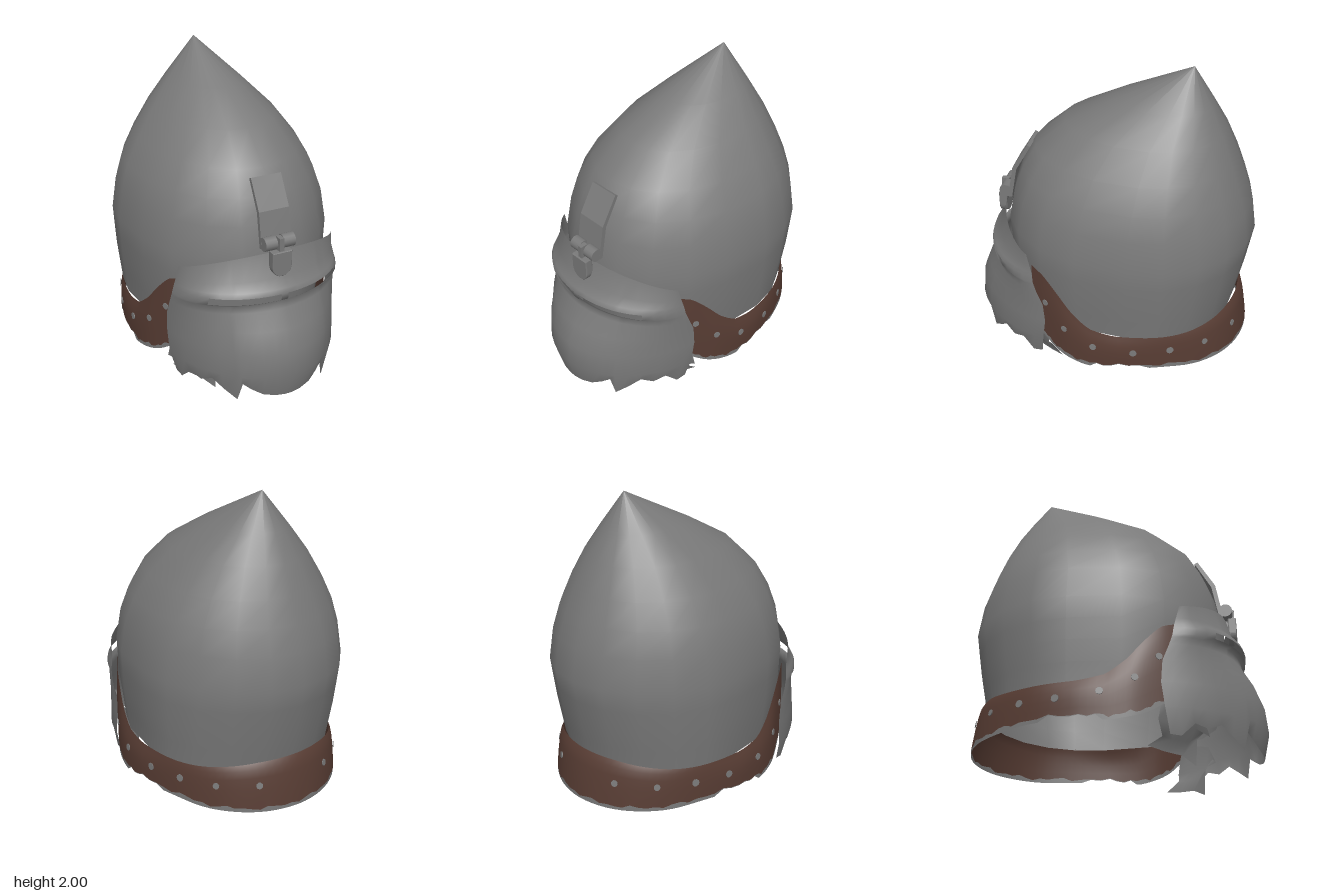
import * as THREE from 'three';

const steel = new THREE.MeshStandardMaterial({ color: 0x7a7a7a, side: THREE.DoubleSide });
steel.name = 'steel';
const leather = new THREE.MeshStandardMaterial({ color: 0x573c33, side: THREE.DoubleSide });
leather.name = 'leather';

const V = (x, y, z) => new THREE.Vector3(x, y, z);
const lerp = THREE.MathUtils.lerp;

// surface through rows of points, running bottom to top; skip(row, col) leaves holes
function sheet(rows, wrap = false, skip = () => false) {
  const n = rows[0].length, index = [];
  for (let r = 0; r < rows.length - 1; r++) {
    for (let c = 0; c < (wrap ? n : n - 1); c++) {
      if (skip(r, c)) continue;
      const d = (c + 1) % n, a = r * n + c, b = r * n + d;
      index.push(a, b, b + n, a, b + n, a + n);
    }
  }
  const g = new THREE.BufferGeometry().setFromPoints(rows.flat());
  g.setIndex(index);
  g.computeVertexNormals();
  return g;
}

function add(parent, name, geometry, material, x = 0, y = 0, z = 0) {
  const m = new THREE.Mesh(geometry, material);
  m.name = name;
  m.position.set(x, y, z);
  parent.add(m);
  return m;
}

// skull sections: height, front z, back z, half width, z of widest point
const SKULL = [
  [0.4, 0.62, -0.8, 0.61, -0.2], [0.7, 0.665, -0.86, 0.64, -0.2],
  [0.95, 0.67, -0.9, 0.65, -0.2], [1.15, 0.63, -0.87, 0.62, -0.2],
  [1.3, 0.575, -0.82, 0.572, -0.22], [1.45, 0.49, -0.765, 0.49, -0.24],
  [1.62, 0.3, -0.69, 0.37, -0.28], [1.78, 0, -0.6, 0.22, -0.36],
  [2, -0.47, -0.47, 0, -0.47],
];
function skullPoint(a, y) {
  let i = 0;
  while (i < SKULL.length - 2 && y > SKULL[i + 1][0]) i++;
  const p = SKULL[i], q = SKULL[i + 1], t = (y - p[0]) / (q[0] - p[0]);
  const [, front, back, w, mid] = p.map((v, k) => lerp(v, q[k], t));
  const c = Math.cos(a);
  return V(w * Math.sin(a), y, c > 0 ? mid + c ** 0.85 * (front - mid) : mid + c * (mid - back));
}
function skull() {
  const n = 20, rows = [];
  const ring = (f) => rows.push(Array.from({ length: n }, (_, i) => {
    const a = (i / n) * Math.PI * 2;
    return skullPoint(a, f(a));
  }));
  // the rim dips a little behind the visor
  const rim = (a) => lerp(0.42, 0.38, THREE.MathUtils.smoothstep(Math.cos(a), 0.2, 0.85));
  for (let k = 0; k < 4; k++) ring((a) => lerp(rim(a), 0.95, k / 4));
  for (const s of SKULL) if (s[0] >= 0.95) ring(() => s[0]);
  return sheet(rows, true);
}

// visor sections: height, half width, rear z, front z, drop toward the sides, pointedness
const VISOR = [
  [0.12, 0.52, 0.37, 0.87, 0, 1.3], [0.27, 0.555, 0.35, 0.905, 0, 1.35],
  [0.42, 0.56, 0.33, 0.89, 0, 1.35], [0.55, 0.56, 0.34, 0.84, 0, 1.3],
  [0.66, 0.555, 0.38, 0.775, 0.01, 1.25], [0.71, 0.55, 0.395, 0.765, 0.015, 1.2],
  [0.728, 0.548, 0.4, 0.79, 0.015, 1.1], [0.77, 0.54, 0.405, 0.795, 0.015, 1.1],
  [0.8, 0.535, 0.41, 0.785, 0.02, 1.2], [0.85, 0.53, 0.42, 0.735, 0.03, 1.4],
  [1.0, 0.52, 0.44, 0.69, 0.1, 1.6],
];
function visor() {
  // columns: fraction of half width, height of the torn lower edge
  const half = [
    [0.04, 0.115], [0.16, 0.12], [0.3, 0.135], [0.42, 0.17], [0.51, 0.205], [0.56, 0.09],
    [0.68, 0.15], [0.775, 0.205], [0.86, 0.17], [0.93, 0.195], [0.98, 0.12], [1, 0.13],
  ];
  const cols = [...half.map(([s, y]) => [-s, y]).reverse(), ...half];
  const rows = VISOR.map(([y, w, rear, front, drop, power], r) => cols.map(([s, torn]) =>
    V(w * s, r ? y - drop * s * s : torn, rear + (front - rear) * (1 - s * s) ** (power / 2))));
  // eye slits
  const slit = (r, c) => {
    const m = Math.abs((cols[c][0] + cols[(c + 1) % cols.length][0]) / 2);
    return r === 6 && m > 0.03 && m < 0.77;
  };
  return sheet(rows, false, slit);
}

// neck band plan on one side, back to front: x, z, top y, bottom y
const BAND = [
  [0, -0.825, 0.48, 0.2], [0.2, -0.79, 0.475, 0.2], [0.37, -0.7, 0.455, 0.205],
  [0.5, -0.56, 0.435, 0.21], [0.585, -0.38, 0.43, 0.225], [0.625, -0.15, 0.432, 0.225],
  [0.625, 0.02, 0.46, 0.21], [0.606, 0.14, 0.55, 0.225], [0.574, 0.25, 0.68, 0.26],
  [0.537, 0.34, 0.77, 0.32], [0.49, 0.42, 0.8, 0.36],
];
const mirrored = [...BAND].reverse().concat(BAND.slice(1).map(([x, ...r]) => [-x, ...r]));
const planCurve = new THREE.CatmullRomCurve3(mirrored.map(([x, z]) => V(x, 0, z)));
const edgeCurve = new THREE.CatmullRomCurve3(mirrored.map(([, , t, b]) => V(t, b, 0)));
// t runs around the band, v from bottom (0) to top (1)
function bandPoint(t, v) {
  const p = planCurve.getPoint(t), e = edgeCurve.getPoint(t);
  const out = 1 - v;
  const sideFlare = 0.01 + 0.035 * THREE.MathUtils.smoothstep(p.z, -0.5, -0.1)
    * (1 - 0.7 * THREE.MathUtils.smoothstep(p.z, 0.15, 0.35));
  const flareX = 1 + sideFlare * Math.min(1, out * 2.5);
  const flareZ = p.z < 0 ? 1 + 0.085 * Math.sqrt(out) : 1;
  return V(p.x * flareX, lerp(e.y, e.x, v), p.z * flareZ);
}
function bandRows(vs, shift) {
  const n = 80;
  return vs.map((v, r) => Array.from({ length: n + 1 }, (_, i) => {
    const p = bandPoint(i / n, v);
    p.y += shift(r, i, p.z);
    return p;
  }));
}
// place along the left half of the band that lies at depth z
function bandAt(z, v) {
  let lo = 0, hi = 0.5;
  for (let k = 0; k < 30; k++) {
    const t = (lo + hi) / 2;
    if (bandPoint(t, v).z > z) lo = t; else hi = t;
  }
  return lo;
}

// torn throat flap under one cheek
function throatFlap() {
  const top = [V(0.25, 0.19, 0.57), V(0.4, 0.34, 0.52), V(0.49, 0.38, 0.42), V(0.535, 0.33, 0.33)];
  const mid = [V(0.28, 0.22, 0.55), V(0.38, 0.2, 0.5), V(0.47, 0.2, 0.4), V(0.55, 0.21, 0.31)];
  const low = [V(0.31, 0.16, 0.5), V(0.36, 0.13, 0.46), V(0.43, 0.13, 0.37), V(0.46, 0.14, 0.32)];
  const tip = [V(0.31, 0.005, 0.49), V(0.37, 0.05, 0.42), V(0.43, 0.06, 0.33), V(0.49, 0.08, 0.24)];
  return sheet([tip, low, mid, top].map((row) => row.reverse()));
}

export function createModel() {
  const helmet = new THREE.Group();
  helmet.name = 'helmet';
  add(helmet, 'skull', skull(), steel);
  add(helmet, 'visor', visor(), steel);

  // leather neck band with a frayed lining below it
  const fray = (i) => 0.008 * Math.sin(i * 2.3) + 0.006 * Math.sin(i * 5.1 + 1);
  add(helmet, 'neckBand', sheet(bandRows([0, 0.2, 0.45, 0.7, 0.88, 1],
    (r, i) => (r ? 0 : fray(i)))), leather);
  add(helmet, 'bandLining', sheet(bandRows([0, 0],
    (r, i, z) => (r ? fray(i) : z < -0.32 ? -0.025 : z < -0.02 ? fray(i) - 0.004 : -0.025))), steel);

  // flat rivets around the band: depth, place across the band, radius
  const rivets = new THREE.Group();
  rivets.name = 'bandRivets';
  helmet.add(rivets);
  for (const [z, v, radius] of [[0.32, 0.6, 0.021], [0.19, 0.53, 0.021], [0, 0.57, 0.022],
    [-0.25, 0.5, 0.023], [-0.47, 0.54, 0.023], [-0.67, 0.55, 0.02], [-0.82, 0.53, 0.021]]) {
    const disc = new THREE.CylinderGeometry(radius, radius, 0.005, 9).rotateX(Math.PI / 2);
    const k = bandAt(z, v);
    for (const t of [k, 1 - k]) {
      const du = bandPoint(t + 0.01, v).sub(bandPoint(t - 0.01, v));
      const dv = bandPoint(t, v + 0.1).sub(bandPoint(t, v - 0.1));
      const normal = du.cross(dv).normalize();
      const rivet = add(rivets, 'rivet', disc, steel);
      rivet.position.copy(bandPoint(t, v)).addScaledVector(normal, 0.005);
      rivet.quaternion.setFromUnitVectors(V(0, 0, 1), normal);
    }
  }

  for (const side of [1, -1]) {
    add(helmet, side > 0 ? 'leftThroatFlap' : 'rightThroatFlap', throatFlap(), steel).scale.x = side;
  }

  // hinge plate bent over the brow
  const plate = new THREE.Shape([[0.53, 1.415], [0.635, 1.24], [0.675, 1.02], [0.65, 1.02],
    [0.61, 1.23], [0.51, 1.405]].map(([z, y]) => new THREE.Vector2(-z, y)));
  const plateGeo = new THREE.ExtrudeGeometry(plate, { depth: 0.196, bevelEnabled: false });
  add(helmet, 'hingePlate', plateGeo.translate(0, 0, -0.098).rotateY(Math.PI / 2), steel);

  // hinge knuckles, pin, arm and rounded tongue
  for (const side of [1, -1]) {
    add(helmet, 'hingeKnuckle', new THREE.CylinderGeometry(0.042, 0.042, 0.076, 14)
      .rotateZ(Math.PI / 2), steel, side * 0.059, 1.06, 0.69);
  }
  add(helmet, 'hingePin', new THREE.CylinderGeometry(0.02, 0.02, 0.18, 10)
    .rotateZ(Math.PI / 2), steel, 0, 1.06, 0.69);
  add(helmet, 'hingeArm', new THREE.BoxGeometry(0.03, 0.12, 0.05), steel, 0, 1.04, 0.715);
  const tongue = new THREE.Shape();
  tongue.moveTo(0.06, 0.07);
  tongue.lineTo(-0.06, 0.07);
  tongue.lineTo(-0.06, -0.02);
  tongue.absarc(0, -0.02, 0.06, Math.PI, Math.PI * 2, false);
  const tongueGeo = new THREE.ExtrudeGeometry(tongue,
    { depth: 0.035, bevelThickness: 0.008, bevelSize: 0.004, bevelSegments: 2 });
  add(helmet, 'hingeTongue', tongueGeo, steel, 0, 0.945, 0.708);

  return helmet;
}
